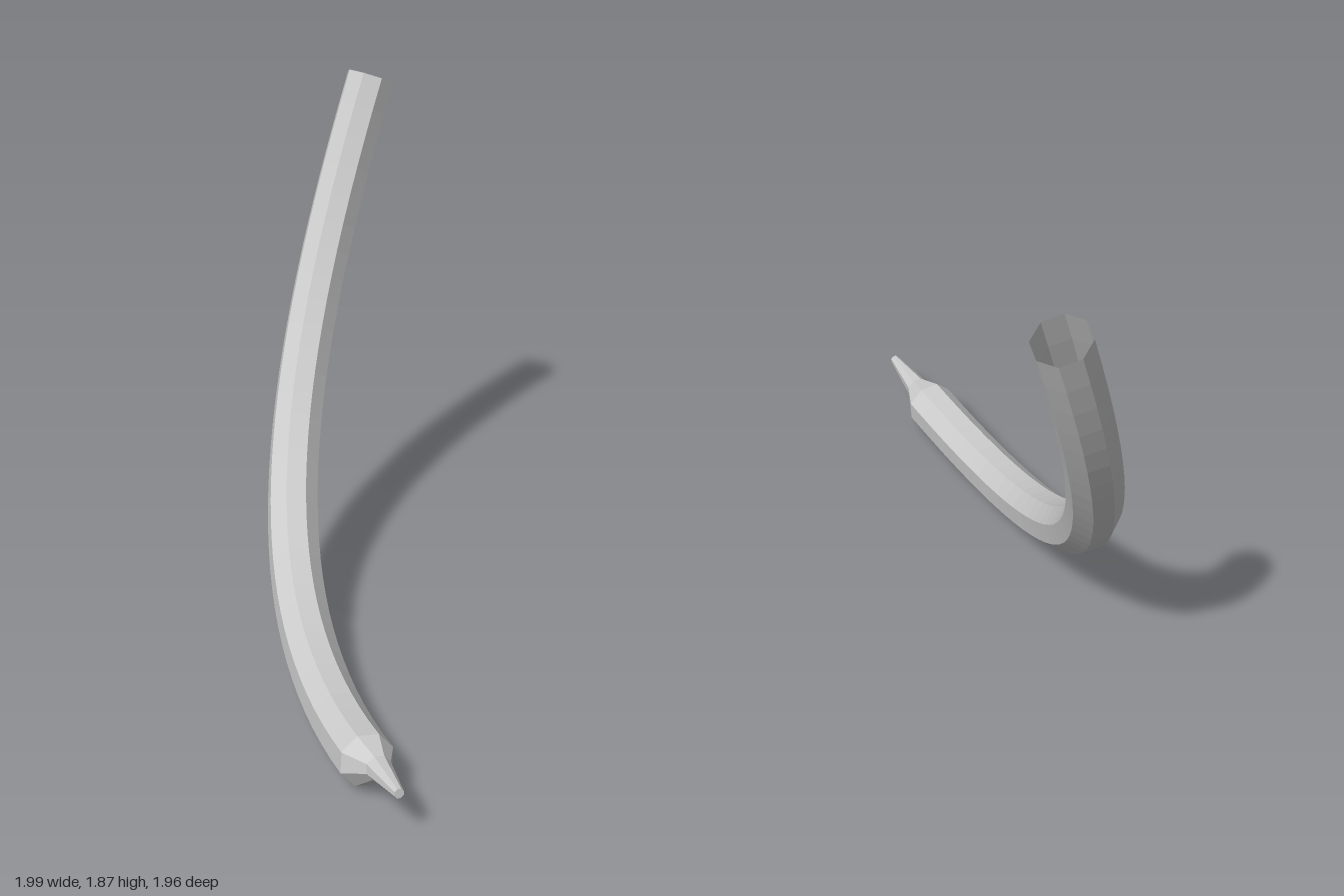
import * as THREE from 'three';

const SIDES = 8;
const RADIUS = 0.1;

// Skin a list of rings { c: centre, n, b: ring axes, r: radius } with outward faces
function skin(rings, phase) {
  const pos = [], idx = [];
  for (const { c, n, b, r } of rings) {
    for (let j = 0; j < SIDES; j++) {
      const a = phase + (j / SIDES) * Math.PI * 2;
      const p = c.clone().addScaledVector(b, r * Math.cos(a)).addScaledVector(n, r * Math.sin(a));
      pos.push(p.x, p.y, p.z);
    }
  }
  for (let i = 0; i < rings.length - 1; i++) {
    for (let j = 0; j < SIDES; j++) {
      const k = (j + 1) % SIDES, A = i * SIDES, B = A + SIDES;
      idx.push(A + j, A + k, B + k, A + j, B + k, B + j);
    }
  }
  const g = new THREE.BufferGeometry();
  g.setAttribute('position', new THREE.Float32BufferAttribute(pos, 3));
  g.setIndex(idx);
  g.computeVertexNormals();
  return g;
}

export function createModel() {
  const group = new THREE.Group();
  const material = new THREE.MeshStandardMaterial({
    color: 0xcccccc, flatShading: true, side: THREE.DoubleSide,
  });
  const add = (name, geometry) => {
    const mesh = new THREE.Mesh(geometry, material);
    mesh.name = name;
    group.add(mesh);
  };

  // Planar sweep path, from the tip end up to the open end
  const p0 = new THREE.Vector3(-0.84, 0.122, 0.70);
  const p1 = new THREE.Vector3(0, -0.09, -0.88);
  const p2 = new THREE.Vector3(0.91, 1.84, -0.89);
  const path = new THREE.QuadraticBezierCurve3(p0, p1, p2);
  const b = p1.clone().sub(p0).cross(p2.clone().sub(p1)).normalize();
  const ringAt = (t, c, r) => ({ c, b, r, n: path.getTangent(t).cross(b) });

  // Turn the octagon so one flat faces the front at the open end
  const endN = path.getTangent(1).cross(b);
  const phase = Math.atan2(endN.z, b.z) + Math.PI / SIDES;

  // Open curved tube
  const steps = 32, body = [];
  for (let i = 0; i <= steps; i++) {
    const t = i / steps;
    body.push(ringAt(t, path.getPoint(t), RADIUS));
  }
  add('curvedTube', skin(body, phase));

  // Stepped tapering tip, closed at the point
  const tipEnd = new THREE.Vector3(-0.981, 0.185, 0.973);
  add('taperedTip', skin([
    ringAt(0, tipEnd, 0),
    ringAt(0, tipEnd, 0.018),
    ringAt(0, new THREE.Vector3(-0.88, 0.152, 0.79), 0.046),
    ringAt(0, p0, RADIUS),
  ], phase));

  return group;
}
